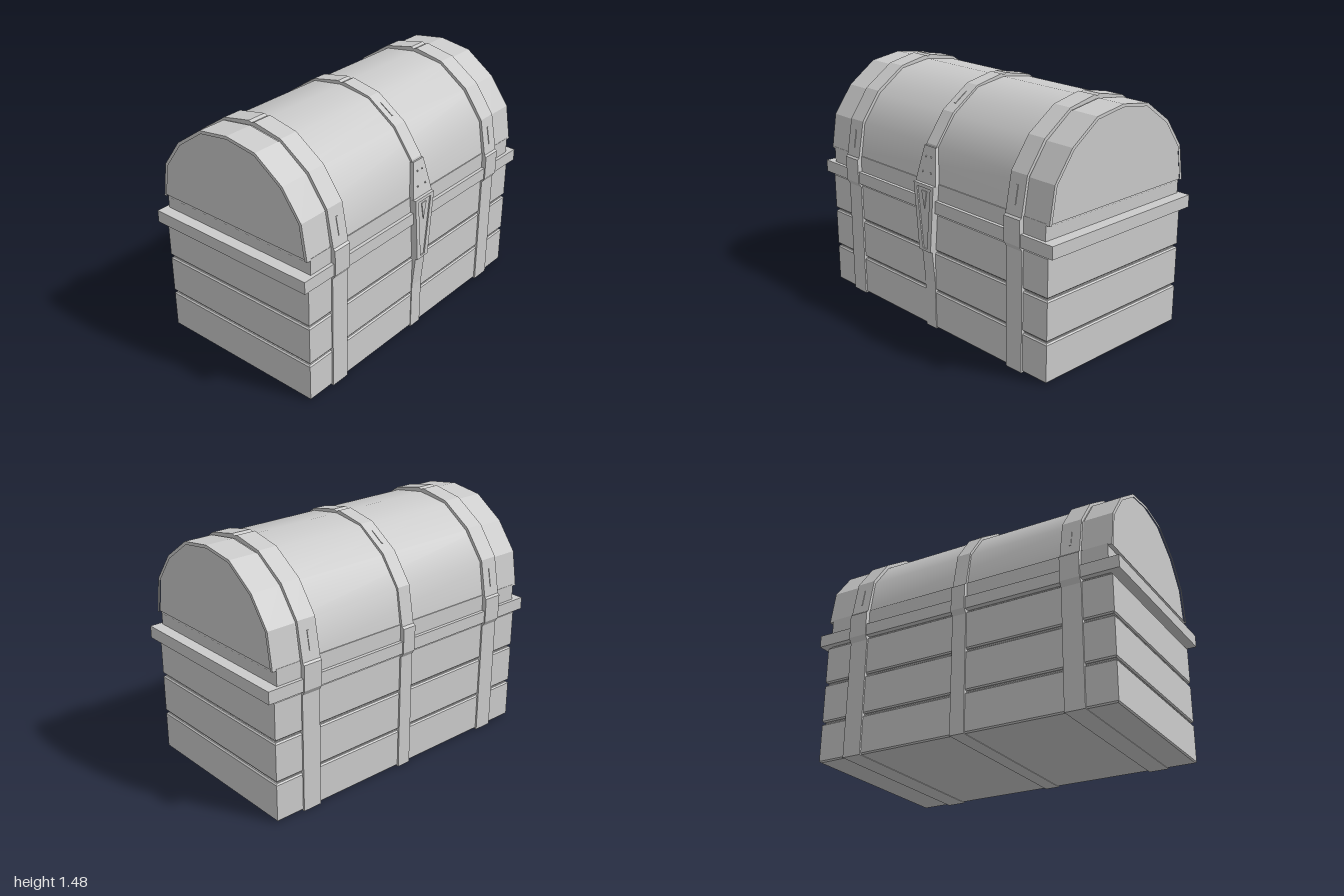
import * as THREE from 'three';
import { toCreasedNormals } from 'three/addons/utils/BufferGeometryUtils.js';

const material = new THREE.MeshStandardMaterial({ color: 0xcccccc });

// Half of the lid arch as [z, y], from the lower edge up to the ridge
const ARCH = [[0.55, 0.91], [0.515, 1.125], [0.39, 1.295], [0.205, 1.425], [0, 1.455]];
const BAND = [[0.567, 0.91], [0.525, 1.135], [0.4, 1.308], [0.21, 1.437], [0.02, 1.475], [0, 1.466]];
const SIDE = [[0.56, 0], [0.56, 0.72], [0.579, 0.75], [0.579, 0.9]];

const mirror = (half) => [...half, ...half.slice(0, -1).reverse().map(([z, y]) => [-z, y])];
const scaled = (pts, s, cy) => pts.map(([z, y]) => [z * s, cy + (y - cy) * s]);
const vectors = (pts) => pts.map(([a, b]) => new THREE.Vector2(a, b));

export function createModel() {
  const chest = new THREE.Group();
  chest.name = 'chest';

  function add(name, geometry, x = 0, y = 0, z = 0, parent = chest) {
    const mesh = new THREE.Mesh(geometry, material);
    mesh.name = name;
    mesh.position.set(x, y, z);
    parent.add(mesh);
    return mesh;
  }

  // Extrude a [z, y] profile along x from x0 to x1
  function prism(profile, x0, x1, hole) {
    const flip = (pts) => vectors(pts.map(([z, y]) => [-z, y]));
    const shape = new THREE.Shape(flip(profile));
    if (hole) shape.holes.push(new THREE.Path(flip(hole)));
    return new THREE.ExtrudeGeometry(shape, { depth: x1 - x0, bevelEnabled: false })
      .rotateY(Math.PI / 2).translate(x0, 0, 0);
  }

  // Extrude an [x, y] outline forward, with an optional opening
  function plate(outline, depth, hole) {
    const shape = new THREE.Shape(vectors(outline));
    if (hole) shape.holes.push(new THREE.Path(vectors(hole)));
    return new THREE.ExtrudeGeometry(shape, { depth, bevelEnabled: false });
  }

  // Layer of planks with chamfered edges
  function plankLayer(w, h, d, b = 0.008) {
    const x = w / 2 - b, z = d / 2 - b;
    const shape = new THREE.Shape(vectors([[-x, -z], [x, -z], [x, z], [-x, z]]));
    return new THREE.ExtrudeGeometry(shape, {
      depth: h - 2 * b, bevelSize: b, bevelThickness: b, bevelSegments: 1,
    }).rotateX(-Math.PI / 2).translate(0, b, 0);
  }

  // Box: inner core and three layers of planks
  add('bodyCore', new THREE.BoxGeometry(1.87, 0.78, 1.07), 0, 0.4, 0);
  [[0.003, 0.24], [0.251, 0.49], [0.502, 0.737]].forEach(([y0, y1], i) =>
    add('plankLayer' + (i + 1), plankLayer(1.9, y1 - y0, 1.1), 0, y0, 0));

  // Rim and the collar under the lid
  add('rim', new THREE.BoxGeometry(2, 0.075, 1.142), 0, 0.784, 0);
  add('lidCollar', new THREE.BoxGeometry(1.86, 0.11, 1.1), 0, 0.865, 0);

  // Smooth lid, with faceted hoops framing the recessed end panels
  const arch = mirror(ARCH);
  add('lid', toCreasedNormals(prism(scaled(arch, 0.993, 0.91), -0.942, 0.942), 0.7));
  const archHole = scaled(arch, 0.965, 0.925);
  for (const s of [-1, 1]) {
    const [x0, x1] = s > 0 ? [0.78, 0.955] : [-0.955, -0.78];
    add(s > 0 ? 'leftEndHoop' : 'rightEndHoop', prism(arch, x0, x1, archHole));
  }

  // Wide straps running right around box and lid
  const strap = mirror([...SIDE, ...BAND]);
  const lowSlope = Math.atan2(0.042, 0.225);
  for (const s of [-1, 1]) {
    const side = s > 0 ? 'left' : 'right';
    const x0 = s > 0 ? 0.65 : -0.77;
    add(side + 'Strap', prism(strap, x0, x0 + 0.12, scaled(strap, 0.92, 0.7)));
    for (const f of [-1, 1]) {
      const slot = add(side + 'StrapSlot', new THREE.BoxGeometry(0.012, 0.11, 0.008), s * 0.71, 1.02, f * 0.546);
      slot.rotation.x = -f * lowSlope;
    }
  }

  // Narrow centre strap; its front thickens behind the lock
  const centreArch = scaled(BAND, 0.992, 0.91);
  const centre = [
    [0.555, 0], [0.555, 0.3], [0.574, 0.5], [0.579, 0.9], ...centreArch,
    ...[...SIDE, ...centreArch].slice(0, -1).reverse().map(([z, y]) => [-z, y]),
  ];
  add('centreStrap', prism(centre, -0.045, 0.045, scaled(centre, 0.92, 0.7)));
  for (const f of [-1, 1]) {
    const slot = add('centreStrapSlot', new THREE.BoxGeometry(0.012, 0.1, 0.008), 0, 1.369, f * 0.302);
    slot.rotation.x = -f * Math.atan2(0.19, 0.129);
  }

  // Tapered lock plate with a framed recess and keyhole wedge
  const lock = new THREE.Group();
  lock.name = 'lock';
  chest.add(lock);
  add('lockFrame', plate(
    [[-0.05, 0.5], [0.05, 0.5], [0.087, 0.91], [-0.087, 0.91]], 0.06,
    [[-0.018, 0.515], [0.018, 0.515], [0.058, 0.89], [-0.058, 0.89]]), 0, 0, 0.531, lock);
  add('lockPanel', plate([[-0.02, 0.51], [0.02, 0.51], [0.062, 0.895], [-0.062, 0.895]], 0.05), 0, 0, 0.533, lock);
  add('keyhole', plate([[0, 0.76], [0.022, 0.87], [-0.022, 0.87]], 0.006), 0, 0, 0.582, lock);

  // Hasp leaning against the lid, with four rivets
  const hasp = new THREE.Group();
  hasp.name = 'hasp';
  hasp.position.set(0, 0.91, 0.562);
  hasp.rotation.x = -lowSlope;
  chest.add(hasp);
  add('haspPlate', plate([[-0.087, 0], [0.087, 0], [0.047, 0.215], [-0.047, 0.215]], 0.035), 0, 0, -0.022, hasp);
  for (const [x, y] of [[-0.035, 0.065], [0.035, 0.065], [-0.022, 0.155], [0.022, 0.155]])
    add('haspRivet', new THREE.CylinderGeometry(0.005, 0.006, 0.006, 6).rotateX(Math.PI / 2), x, y, 0.015, hasp);

  chest.position.z = -0.005;
  const model = new THREE.Group();
  model.name = 'treasureChest';
  model.add(chest);
  return model;
}
